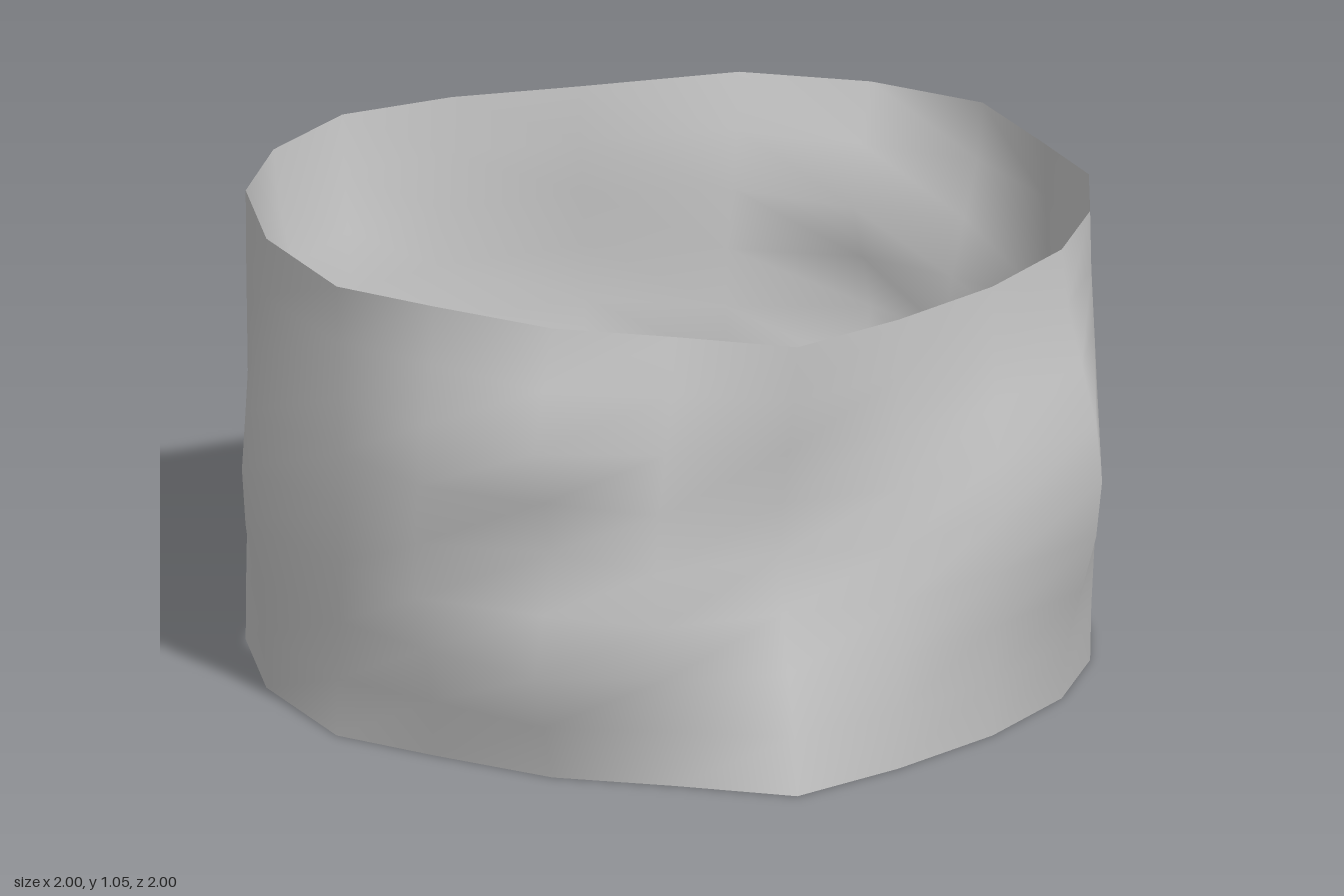
import * as THREE from 'three';
import { mergeVertices } from 'three/addons/utils/BufferGeometryUtils.js';

const RADIUS = 0.947, HEIGHT = 1.053, RIPPLE = 0.0527, SIDES = 20, RINGS = 8;

// Sway of each column, every 18 degrees from +x towards +z:
// [x, z at the rims, x, z at the crest, waves over the height]
const COLUMNS = [
  [-1, -1, 1, -0.6, 1],
  [-0.95, -0.8, -0.3, 0.1, 1],
  [-0.4, -0.2, -0.2, 0, 1],
  [1, 0.9, -0.5, -0.8, 1],
  [0.7, -1, 0.6, 0.9, 1],
  [1, -1, 1, 1, 2],
  [0.8, -1, 0.7, 0.9, 1],
  [1, 0.6, 1, 0.1, 1],
  [-0.2, -0.3, -0.85, 0.85, 1],
  [-0.9, -1, -0.1, 0.7, 1],
  [-1, -1, 1, -0.6, 1],
  [-0.95, -0.9, -0.1, -0.1, 1],
  [-0.1, 0.2, -0.8, 0.6, 1],
  [0.4, 0.8, 0, -0.85, 1],
  [0.9, -1, 0.9, 0.5, 1],
  [1, -1, 1, 1, 2],
  [0.9, -1, -0.2, 0.4, 1],
  [0.4, 0.6, 0, -0.85, 1],
  [-0.3, -0.25, -0.8, 0.7, 1],
  [-0.95, -0.7, -0.3, 0, 1],
];

export function createModel() {
  const group = new THREE.Group();
  group.name = 'rippledBand';

  // Open tube, welded at its seam so that shading stays smooth all round
  let geometry = new THREE.CylinderGeometry(RADIUS, RADIUS, HEIGHT, SIDES, RINGS, true);
  geometry.deleteAttribute('uv');
  geometry.deleteAttribute('normal');
  geometry = mergeVertices(geometry, 1e-4);
  geometry.translate(0, HEIGHT / 2, 0);

  // Each column sways between its rim and crest offsets along the height
  const p = geometry.attributes.position;
  for (let i = 0; i < p.count; i++) {
    const x = p.getX(i), y = p.getY(i), z = p.getZ(i);
    const step = Math.round(Math.atan2(z, x) / (2 * Math.PI) * SIDES);
    const [x0, z0, x1, z1, waves] = COLUMNS[(step + SIDES) % SIDES];
    const t = (1 - Math.cos(2 * Math.PI * waves * y / HEIGHT)) / 2;
    p.setX(i, x + RIPPLE * THREE.MathUtils.lerp(x0, x1, t));
    p.setZ(i, z + RIPPLE * THREE.MathUtils.lerp(z0, z1, t));
  }
  geometry.computeVertexNormals();

  const band = new THREE.Mesh(geometry, new THREE.MeshStandardMaterial({
    color: 0xcccccc, side: THREE.DoubleSide,
  }));
  band.name = 'band';
  group.add(band);
  return group;
}
